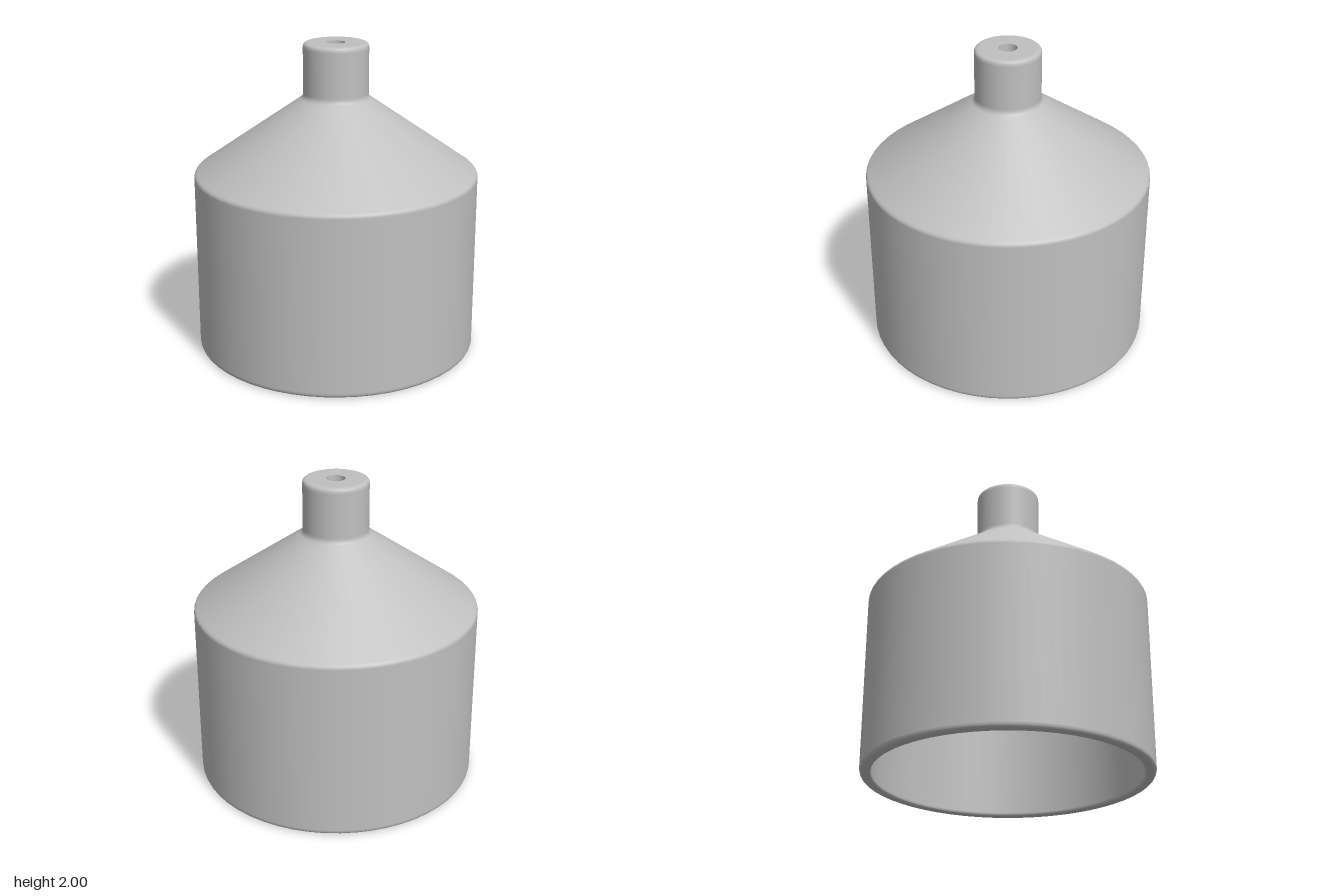
import * as THREE from 'three';

const SEGMENTS = 56;

export function createModel() {
  const model = new THREE.Group();
  model.name = 'hollowBell';
  const grey = new THREE.MeshStandardMaterial({ color: 0xc0c0c0 });
  grey.name = 'plain grey';

  // Each section is a separate lathe, so straight walls keep their own normals.
  const lathe = (name, points) => {
    const profile = points.map(([r, y]) => new THREE.Vector2(r, y));
    const mesh = new THREE.Mesh(new THREE.LatheGeometry(profile, SEGMENTS), grey);
    mesh.name = name;
    model.add(mesh);
  };
  // Rounded edge bending from a to b around the corner c.
  const round = (name, a, c, b) => {
    const v = (p) => new THREE.Vector2(...p);
    const curve = new THREE.QuadraticBezierCurve(v(a), v(c), v(b));
    lathe(name, curve.getPoints(5).map((p) => [p.x, p.y]));
  };

  // Outer shell, from the bottom rim up to the top
  round('bottomOuterEdge', [0.88, 0], [0.91, 0], [0.91, 0.03]);
  lathe('bodyWall', [[0.91, 0.03], [0.91, 1.15]]);
  round('shoulderEdge', [0.91, 1.15], [0.91, 1.165], [0.895, 1.176]);
  lathe('shoulderCone', [[0.895, 1.176], [0.225, 1.645]]);
  round('neckFillet', [0.225, 1.645], [0.208, 1.657], [0.208, 1.68]);
  lathe('neck', [[0.208, 1.68], [0.208, 1.97]]);
  round('neckTopEdge', [0.208, 1.97], [0.208, 2], [0.178, 2]);
  lathe('neckTop', [[0.178, 2], [0.058, 2]]);

  // Small blind hole in the neck
  lathe('holeWall', [[0.058, 2], [0.058, 1.76]]);
  lathe('holeFloor', [[0.058, 1.76], [0, 1.76]]);

  // Inner cavity, from the ceiling down to the rim
  lathe('innerCeiling', [[0, 1.61], [0.14, 1.61]]);
  lathe('innerCone', [[0.14, 1.61], [0.84, 1.12]]);
  lathe('innerWall', [[0.84, 1.12], [0.84, 0.02]]);
  round('bottomInnerEdge', [0.84, 0.02], [0.84, 0], [0.86, 0]);
  lathe('bottomRim', [[0.86, 0], [0.88, 0]]);

  return model;
}
